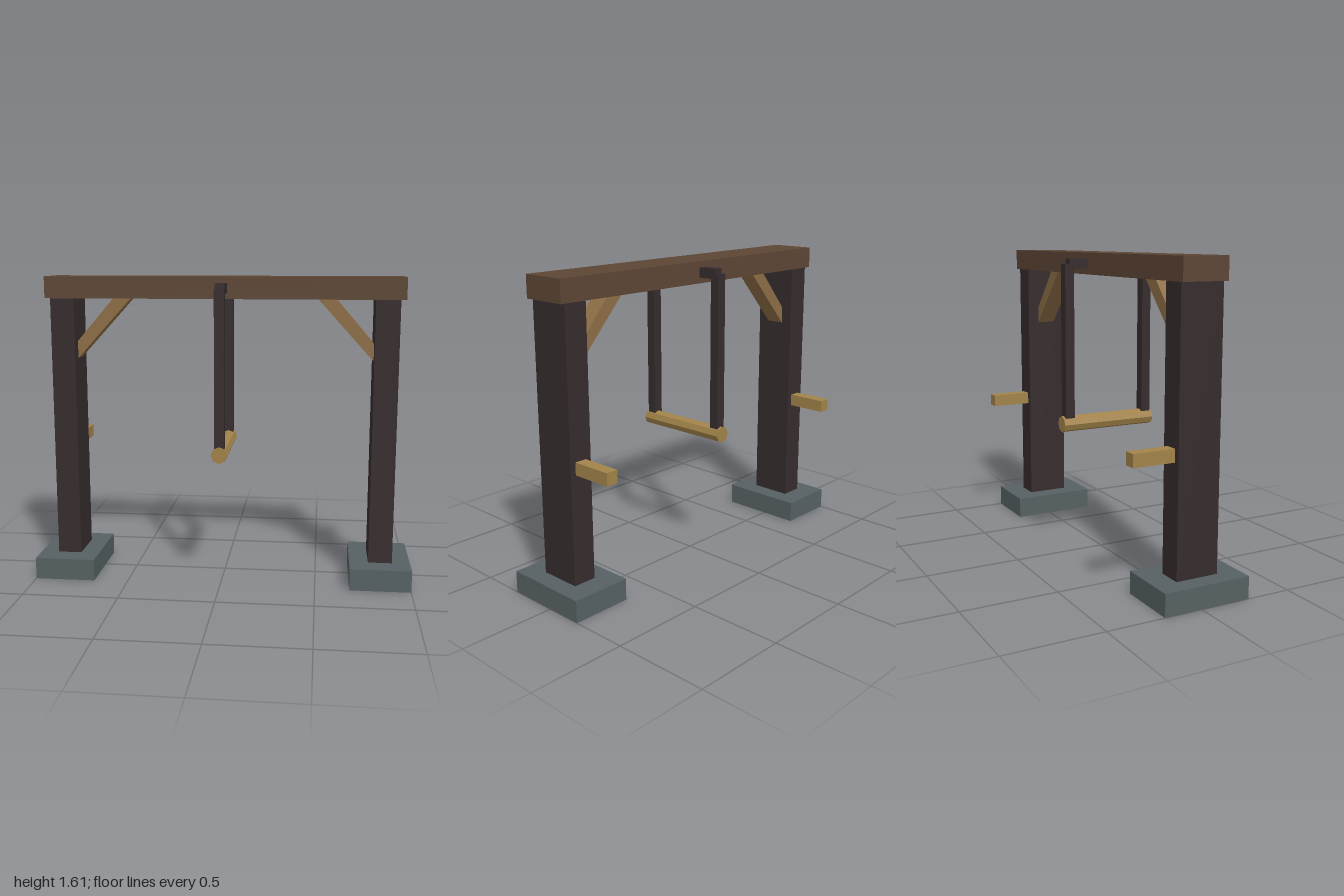
import * as THREE from 'three';

const mat = (name, color) => {
  const m = new THREE.MeshStandardMaterial({ color, flatShading: true });
  m.name = name;
  return m;
};

export function createModel() {
  const stone = mat('greyStone', 0x566163);
  const dark = mat('darkWood', 0x362c2d);
  const brown = mat('brownWood', 0x5d4635);
  const tan = mat('tanWood', 0x8e6e46);
  const pale = mat('paleWood', 0xa28349);

  const group = new THREE.Group();
  const add = (name, geometry, material) => {
    const mesh = new THREE.Mesh(geometry, material);
    mesh.name = name;
    group.add(mesh);
    return mesh;
  };
  // Box given by its extents along each axis
  const box = (name, material, [x0, x1], [y0, y1], [z0, z1]) =>
    add(name, new THREE.BoxGeometry(x1 - x0, y1 - y0, z1 - z0), material)
      .position.set((x0 + x1) / 2, (y0 + y1) / 2, (z0 + z1) / 2);

  // Mirrored supports: footing, post, peg and diagonal brace
  for (const [side, s] of [['left', 1], ['right', -1]]) {
    const span = (a, b) => (s > 0 ? [a, b] : [-b, -a]);
    box(side + 'Footing', stone, span(0.68, 1), [0, 0.115], [-0.2, 0.265]);
    box(side + 'Post', dark, span(0.78, 0.905), [0.05, 1.51], [-0.08, 0.147]);
    box(side + 'Peg', pale, span(0.81, 0.875), [0.68, 0.745], [-0.3, 0]);

    const outline = [[0.79, 1.17], [0.79, 1.26], [0.575, 1.51], [0.48, 1.51]];
    const shape = new THREE.Shape(outline.map(([x, y]) => new THREE.Vector2(s * x, y)));
    add(side + 'Brace', new THREE.ExtrudeGeometry(shape, { depth: 0.1, bevelEnabled: false }), tan)
      .position.z = -0.017;
  }

  // Top beam with a crossbar running through it
  box('topBeam', brown, [-0.933, 0.933], [1.5, 1.613], [-0.09, 0.153]);
  box('crossbar', dark, [-0.025, 0.025], [1.53, 1.582], [-0.195, 0.265]);

  // Hangers on both ends of the crossbar
  box('frontHanger', dark, [-0.026, 0.026], [0.712, 1.556], [0.24, 0.291]);
  box('backHanger', dark, [-0.026, 0.026], [0.712, 1.556], [-0.221, -0.17]);

  // Eight-sided swing bar
  const bar = add('swingBar', new THREE.CylinderGeometry(0.043, 0.043, 0.537, 8), pale);
  bar.rotation.x = Math.PI / 2;
  bar.position.set(0, 0.712, 0.0335);

  return group;
}
